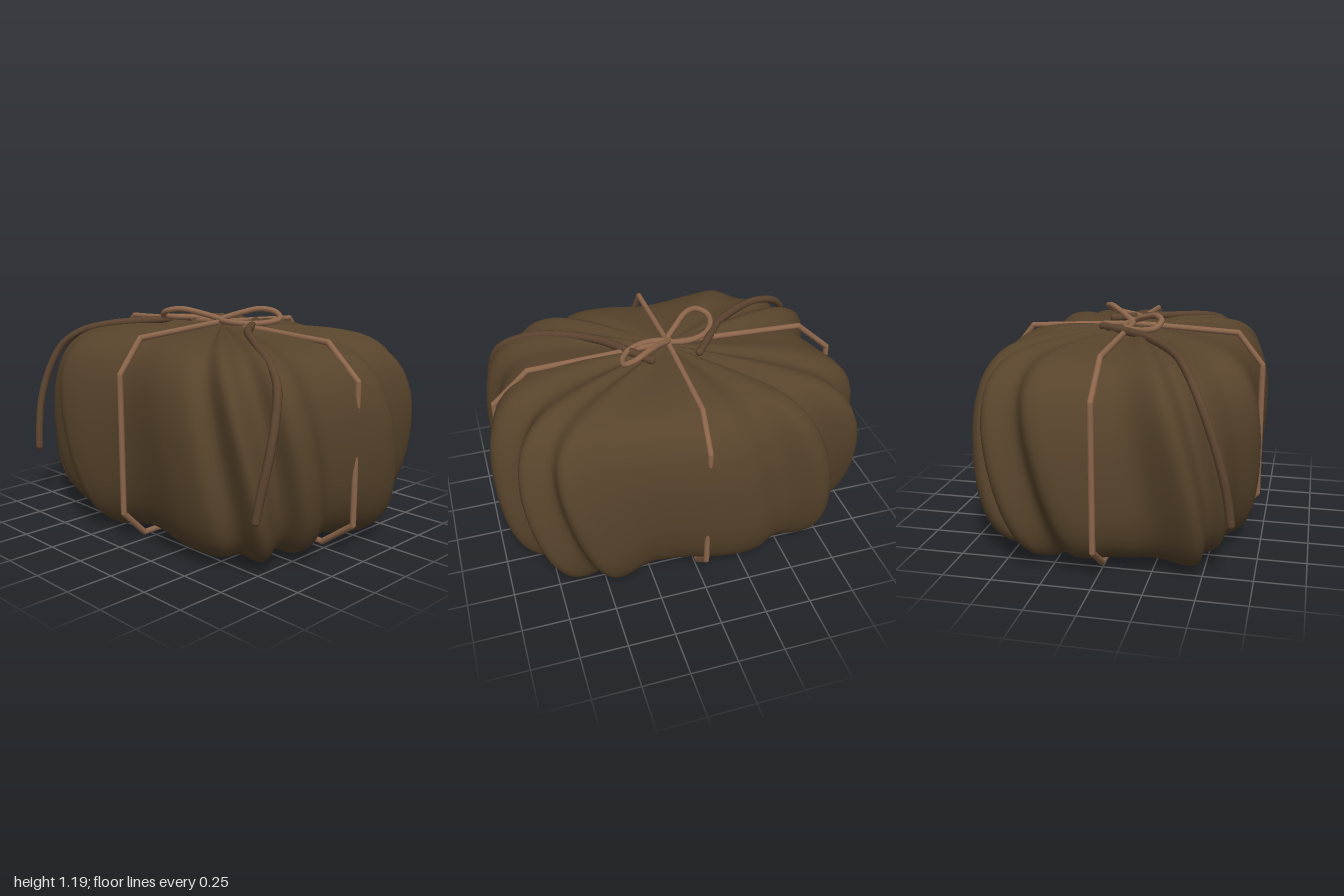
import * as THREE from 'three';

const clothMat = new THREE.MeshStandardMaterial({ color: 0x58442c });
clothMat.name = 'brown cloth';
const cordMat = new THREE.MeshStandardMaterial({ color: 0x8d664b });
cordMat.name = 'light cord';
const tailMat = new THREE.MeshStandardMaterial({ color: 0x5c4430 });
tailMat.name = 'dark cord';

// Folded outline at mid height, as x, z pairs
const OUTLINE = [
  .995, -.23, .955, -.02, .90, .2, .95, .35, .93, .44, .80, .48, .80, .64, .62, .635, .545, .70,
  .35, .72, 0, .68, -.40, .735, -.49, .735, -.61, .64, -.82, .57, -.83, .49, -.975, .44, -.90, .2,
  -.945, 0, -1, -.25, -.9, -.36, -.93, -.51, -.89, -.55, -.68, -.57, -.71, -.64, -.64, -.71,
  -.42, -.68, -.26, -.742, 0, -.74, .25, -.68, .4, -.66, .67, -.695, .72, -.59, .88, -.56, .855, -.36,
];

// Side profile from the bottom centre to the top centre, as scale, height
const PROFILE = [
  [0, .03], [.3, .018], [.55, .006], [.67, .012], [.77, .036], [.87, .1], [.94, .21], [.982, .36],
  [1, .55], [.994, .72], [.967, .84], [.93, .92], [.865, .99], [.77, 1.04], [.65, 1.066], [.5, 1.082],
  [.25, 1.092], [0, 1.097],
];

const vec = (p) => new THREE.Vector3(...p);

function mesh(geometry, material, name) {
  const m = new THREE.Mesh(geometry, material);
  m.name = name;
  return m;
}

function cord(points, radius, material, name, closed = false) {
  const curve = new THREE.CatmullRomCurve3(points.map(vec), closed);
  const group = new THREE.Group();
  group.name = name;
  group.add(mesh(new THREE.TubeGeometry(curve, 64, radius, 8, closed), material, name + 'Cord'));
  if (!closed) {
    for (const p of [points[0], points[points.length - 1]]) {
      const cap = mesh(new THREE.SphereGeometry(radius, 8, 6), material, name + 'End');
      cap.position.copy(vec(p));
      group.add(cap);
    }
  }
  return group;
}

// Rounded rectangle the folds are laid on: radius at an angle
const baseRadius = (a) => ((Math.cos(a) / .95) ** 4 + (Math.sin(a) / .71) ** 4) ** -.25;

// Soft bundle: the outline swept along the profile, its folds twisting with height
function bundleGeometry() {
  const N = 240, M = 48;
  const pts = [];
  for (let i = 0; i < OUTLINE.length; i += 2) pts.push(new THREE.Vector3(OUTLINE[i], 0, OUTLINE[i + 1]));
  const outline = new THREE.CatmullRomCurve3(pts, true).getSpacedPoints(N).map((p) => {
    const angle = Math.atan2(p.z, p.x);
    return { angle, fold: Math.hypot(p.x, p.z) / baseRadius(angle) };
  });
  const profile = new THREE.CatmullRomCurve3(PROFILE.map(([s, y]) => new THREE.Vector3(s, y, 0))).getSpacedPoints(M);
  const pos = [], index = [];
  for (let j = 0; j <= M; j++) {
    const s = Math.max(0, profile[j].x);
    const twist = .24 * (profile[j].y - .6);
    for (let i = 0; i < N; i++) {
      const { angle, fold } = outline[i];
      const a = angle + twist;
      const r = baseRadius(a) * fold * s;
      const x = r * Math.cos(a), z = r * Math.sin(a);
      let y = profile[j].y;
      // folds also ripple the top and the underside
      const ripple = THREE.MathUtils.clamp(fold - 1, -.1, .06) * .22 * Math.sin(Math.PI * Math.min(1, s));
      if (y > .7) y += ripple;
      else if (y < .3) {
        y -= ripple;
        // shallow grooves pressed in by the cords
        const d = Math.min(Math.abs(x), Math.abs(z)) / .16;
        y += .028 * Math.exp(-d * d) * Math.min(1, s * 2) * (1 - y / .3);
      }
      pos.push(x, Math.max(0, y), z);
      if (j < M) {
        const k = j * N, n = (i + 1) % N;
        index.push(k + i, k + N + i, k + n, k + n, k + N + i, k + N + n);
      }
    }
  }
  const g = new THREE.BufferGeometry();
  g.setAttribute('position', new THREE.Float32BufferAttribute(pos, 3));
  g.setIndex(index);
  g.computeVertexNormals();
  return g;
}

// Straight-sided strap loop with chamfered corners
function strap(half, chamfer, alongX, name) {
  const side = [[0, 1.107], [half - chamfer, 1.076], [half, .905], [half, .172], [half - chamfer, .033], [0, .036]];
  const group = new THREE.Group();
  group.name = name;
  const r = .016;
  for (const sign of [1, -1]) {
    const path = side.map(([d, y]) => (alongX ? vec([sign * d - .0125, y, 0]) : vec([-.0125, y, sign * d])));
    path.forEach((p, i) => {
      const joint = mesh(new THREE.SphereGeometry(r, 8, 6), cordMat, 'strapJoint');
      joint.position.copy(p);
      group.add(joint);
      if (i === 0) return;
      const dir = p.clone().sub(path[i - 1]);
      const seg = mesh(new THREE.CylinderGeometry(r, r, dir.length(), 8), cordMat, 'strapSegment');
      seg.position.copy(p).add(path[i - 1]).multiplyScalar(.5);
      seg.quaternion.setFromUnitVectors(new THREE.Vector3(0, 1, 0), dir.normalize());
      group.add(seg);
    });
  }
  return group;
}

export function createModel() {
  const model = new THREE.Group();
  model.name = 'tiedBundle';
  model.add(mesh(bundleGeometry(), clothMat, 'clothBundle'));
  model.add(strap(.942, .19, true, 'sideStrap'));
  model.add(strap(.708, .135, false, 'frontStrap'));

  // Bow loops, turned half round about the knot
  const loop = [[0, 1.12, 0], [.07, 1.155, -.08], [.15, 1.178, -.155], [.225, 1.165, -.195], [.28, 1.135, -.175],
    [.272, 1.12, -.1], [.21, 1.115, -.015], [.1, 1.115, .025]];
  for (const [sign, name] of [[1, 'leftBowLoop'], [-1, 'rightBowLoop']]) {
    model.add(cord(loop.map(([x, y, z]) => [sign * x - .012, y, sign * z]), .016, cordMat, name, true));
  }
  const knot = mesh(new THREE.SphereGeometry(.024, 12, 8), cordMat, 'knot');
  knot.position.set(-.012, 1.116, 0);
  model.add(knot);

  // Loose tails hanging over the front corners
  const tail = [[.13, 1.11, -.14], [.235, 1.108, 0], [.34, 1.1, .14], [.58, 1.07, .325], [.74, 1.02, .41],
    [.845, .935, .475], [.893, .79, .54], [.905, .62, .595], [.89, .46, .628], [.877, .345, .643]];
  for (const [sign, name] of [[1, 'leftTail'], [-1, 'rightTail']]) {
    model.add(cord(tail.map(([x, y, z]) => [sign * x - .0125, y, z]), .022, tailMat, name));
  }
  return model;
}
